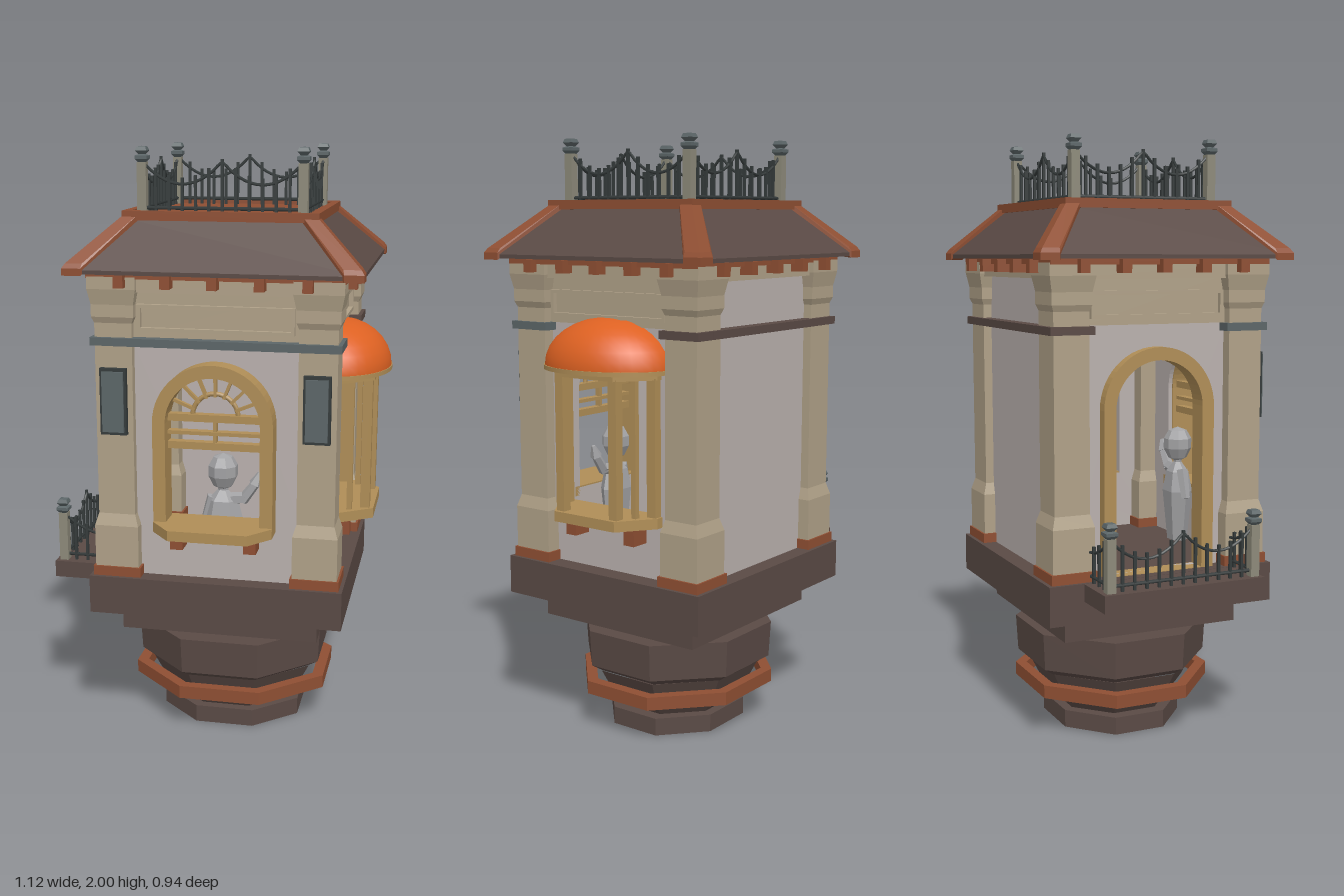
import * as THREE from 'three';
import { ConvexGeometry } from 'three/addons/geometries/ConvexGeometry.js';

const paint = (name, color) => {
  const m = new THREE.MeshStandardMaterial({ color });
  m.name = name;
  return m;
};

export function createModel() {
  const dark = paint('dark brown', 0x5a4a45), red = paint('terracotta', 0x8f4f33);
  const beige = paint('sandstone', 0xb0a188), wall = paint('plaster', 0xbab1ae);
  const tan = paint('ochre wood', 0xb08e57), orange = paint('orange canopy', 0xdd6122);
  const slate = paint('slate', 0x5c6668), iron = paint('iron', 0x353b3b);
  const grey = paint('figure grey', 0xa3a3a5), post = paint('post stone', 0x8d8a7a);

  const model = new THREE.Group();
  const tower = new THREE.Group();
  tower.name = 'tower';
  tower.position.set(0.025, 0, -0.03);
  model.add(tower);

  const add = (parent, name, geo, mat, x = 0, y = 0, z = 0) => {
    const m = new THREE.Mesh(geo, mat);
    m.name = name;
    m.position.set(x, y, z);
    parent.add(m);
    return m;
  };
  // box given by its bottom and top height
  const box = (parent, name, mat, w, y0, y1, d, x = 0, z = 0) =>
    add(parent, name, new THREE.BoxGeometry(w, y1 - y0, d), mat, x, (y0 + y1) / 2, z);
  const side = (name, angle) => {
    const g = new THREE.Group();
    g.name = name;
    g.rotation.y = angle;
    tower.add(g);
    return g;
  };
  // faceted prism from [half width, height] pairs, bottom to top
  const prism = (profile, sides, zScale = 1) => {
    const k = 1 / Math.cos(Math.PI / sides);
    let g = new THREE.LatheGeometry(profile.map(([r, y]) => new THREE.Vector2(r * k, y)), sides, Math.PI / sides);
    g.scale(1, 1, zScale);
    g = g.toNonIndexed();
    g.computeVertexNormals();
    return g;
  };
  const extrude = (shape, depth) => new THREE.ExtrudeGeometry(shape, { depth, bevelEnabled: false, curveSegments: 14 });
  const outline = (path, hw, y0, spring, round) => {
    path.moveTo(-hw, y0).lineTo(hw, y0).lineTo(hw, spring);
    if (round) path.absarc(0, spring, hw, 0, Math.PI, false);
    else path.lineTo(-hw, spring);
    path.lineTo(-hw, y0);
    return path;
  };
  // outline with an opening, extruded forwards from z
  const holed = (outer, inner, depth) => {
    const s = outline(new THREE.Shape(), ...outer);
    if (inner) s.holes.push(outline(new THREE.Path(), ...inner));
    return extrude(s, depth);
  };
  // flat slab with canted front corners
  const canted = (hw0, z0, z1, hw1, z2, h) => {
    const pts = [[-hw0, z0], [-hw0, z1], [-hw1, z2], [hw1, z2], [hw0, z1], [hw0, z0]];
    const g = extrude(new THREE.Shape(pts.map(([x, z]) => new THREE.Vector2(x, -z))), h);
    return g.rotateX(-Math.PI / 2);
  };

  // Octagonal foot
  add(tower, 'footSlab', prism([[0, 0], [0.243, 0], [0.243, 0.06], [0, 0.06]], 8, 0.9), dark);
  add(tower, 'footTaper', prism([[0.2, 0.06], [0.25, 0.13], [0.285, 0.2]], 8, 0.93), dark);
  add(tower, 'footRing', prism([[0.3, 0.13], [0.338, 0.13], [0.338, 0.175], [0.3, 0.175], [0.3, 0.13]], 8, 0.92), red);
  add(tower, 'drum', prism([[0, 0.2], [0.28, 0.2], [0.318, 0.225], [0.325, 0.35], [0, 0.35]], 8, 0.955), dark);
  box(tower, 'lowerSlab', dark, 0.67, 0.38, 0.466, 0.625);
  box(tower, 'baseSlab', dark, 0.85, 0.465, 0.595, 0.8);

  // Corner pilasters
  for (const sx of [-1, 1]) for (const sz of [-1, 1]) {
    const x = sx * 0.332, z = sz * 0.309;
    box(tower, 'plinth', red, 0.162, 0.595, 0.628, 0.156, x, z);
    add(tower, 'pilaster', prism([[0.074, 0.628], [0.074, 0.77], [0.062, 0.81], [0.062, 1.45], [0.07, 1.47],
      [0.07, 1.51], [0.08, 1.56], [0.08, 1.6]], 4, 0.97), beige, x, 0, z);
    if (sz > 0) {
      box(tower, 'plaqueFrame', iron, 0.088, 1.085, 1.305, 0.02, x, 0.377);
      box(tower, 'plaque', slate, 0.072, 1.095, 1.295, 0.03, x, 0.379);
    }
    box(tower, 'pilasterBand', sz > 0 ? slate : dark, 0.15, 1.378, 1.404, 0.15, x, z);
  }

  // Walls with their openings
  const front = side('frontSide', 0), left = side('leftSide', Math.PI / 2);
  const right = side('rightSide', -Math.PI / 2), back = side('backSide', Math.PI);
  add(front, 'frontWall', holed([0.35, 0.595, 1.55], [0.16, 0.8, 1.135, true], 0.03), wall, 0, 0, 0.31);
  add(back, 'backWall', holed([0.35, 0.595, 1.55], null, 0.03), wall, 0, 0, 0.31);
  add(left, 'bayWall', holed([0.32, 0.595, 1.55], [0.185, 0.8, 1.27], 0.03), wall, 0, 0, 0.325);
  add(right, 'doorWall', holed([0.32, 0.595, 1.55], [0.16, 0.597, 1.135, true], 0.03), wall, 0, 0, 0.325);
  box(back, 'backBand', dark, 0.66, 1.378, 1.404, 0.05, 0, 0.36);
  box(front, 'frontBand', slate, 0.66, 1.378, 1.404, 0.05, 0, 0.36);

  // Framed frieze panels
  for (const [g, hw, z] of [[front, 0.27, 0.335], [left, 0.25, 0.35], [right, 0.25, 0.35]]) {
    box(g, 'frieze', beige, hw * 2, 1.404, 1.56, 0.012, 0, z + 0.006);
    add(g, 'friezeFrame', holed([hw - 0.015, 1.425, 1.512], [hw - 0.027, 1.437, 1.5], 0.016), beige, 0, 0, z + 0.012);
  }

  // Front window: frame, fan light, transom bars, sill
  add(front, 'windowFrame', holed([0.197, 0.8, 1.135, true], [0.155, 0.8, 1.135, true], 0.085), tan, 0, 0, 0.325);
  for (const [y, h] of [[1.15, 0.024], [1.1, 0.012], [1.058, 0.024]])
    box(front, 'transomBar', tan, 0.315, y - h / 2, y + h / 2, 0.03, 0, 0.355);
  box(front, 'transomPost', tan, 0.012, 1.06, 1.15, 0.02, 0, 0.355);
  add(front, 'fanArc', new THREE.TorusGeometry(0.075, 0.008, 6, 16, Math.PI), tan, 0, 1.155, 0.355);
  for (let i = 1; i < 8; i++) {
    const a = (i * Math.PI) / 8;
    const ray = add(front, 'fanRay', new THREE.BoxGeometry(0.085, 0.01, 0.016), tan,
      Math.cos(a) * 0.115, 1.15 + Math.sin(a) * 0.112, 0.355);
    ray.rotation.z = a;
  }
  add(front, 'windowSill', canted(0.197, 0.31, 0.415, 0.13, 0.497, 0.034), tan, 0, 0.771, 0);

  // Side bay window with half dome
  add(left, 'baySill', canted(0.208, 0.33, 0.38, 0.125, 0.497, 0.034), tan, 0, 0.771, 0);
  add(left, 'bayHead', canted(0.205, 0.35, 0.375, 0.12, 0.49, 0.03), tan, 0, 1.245, 0);
  for (const s of [-1, 1]) {
    box(left, 'bayWallPost', tan, 0.034, 0.8, 1.25, 0.034, s * 0.185, 0.367);
    box(left, 'bayFrontPost', tan, 0.032, 0.8, 1.25, 0.032, s * 0.11, 0.468);
    box(left, 'bayMullion', tan, 0.018, 0.8, 1.25, 0.018, s * 0.148, 0.418);
    for (const [g, x, z] of [[front, 0.122, 0.37], [left, 0.122, 0.385]])
      box(g, 'sillBracket', red, 0.042, 0.71, 0.772, 0.07, s * x, z);
  }
  const rim = new THREE.CylinderGeometry(0.24, 0.24, 0.014, 24, 1, false, -Math.PI / 2, Math.PI);
  add(left, 'domeRim', rim.scale(1, 1, 0.77), tan, 0, 1.27, 0.352);
  const dome = new THREE.SphereGeometry(1, 18, 8, 0, Math.PI, 0, Math.PI / 2).scale(0.237, 0.157, 0.182);
  add(left, 'bayDome', dome, orange, 0, 1.275, 0.352);

  // Arched balcony door
  add(right, 'doorFrame', holed([0.197, 0.595, 1.135, true], [0.155, 0.597, 1.135, true], 0.07), tan, 0, 0, 0.32);

  // Cornice and brackets
  box(tower, 'cornice', beige, 0.79, 1.55, 1.6, 0.74);
  box(tower, 'corniceFillet', red, 0.83, 1.594, 1.616, 0.77);
  for (const [g, step, z] of [[front, 0.15, 0.39], [left, 0.14, 0.415], [right, 0.14, 0.415], [back, 0.15, 0.39]])
    for (let i = -2; i <= 2; i++) box(g, 'eaveBracket', red, 0.032, 1.568, 1.61, 0.05, i * step, z);

  // Hipped roof, hip caps, rim and deck
  add(tower, 'roof', prism([[0, 1.612], [0.47, 1.612], [0.47, 1.625], [0.305, 1.775], [0, 1.775]], 4, 0.926), dark);
  for (const sx of [-1, 1]) for (const sz of [-1, 1]) {
    const pts = [];
    for (const [x, z, w, ys] of [[0.475, 0.44, 0.062, [1.607, 1.63]], [0.465, 0.43, 0.055, [1.645]], [0.3, 0.278, 0.045, [1.765, 1.798]]])
      for (const y of ys)
        for (const [a, b] of [[0, 0], [w, 0], [0, w]]) pts.push(new THREE.Vector3(sx * (x - a), y, sz * (z - b)));
    add(tower, 'hipCap', new ConvexGeometry(pts), red);
  }
  add(tower, 'roofRim', prism([[0.29, 1.77], [0.317, 1.77], [0.317, 1.8], [0.29, 1.8], [0.29, 1.77]], 4, 0.93), red);
  box(tower, 'roofDeck', red, 0.59, 1.77, 1.787, 0.55);

  // Railings
  const railPost = (x, z, y, h) => {
    box(tower, 'railPost', post, 0.03, y, y + h - 0.05, 0.03, x, z);
    add(tower, 'postCap', prism([[0.012, -0.05], [0.02, -0.04], [0.02, -0.03], [0.01, -0.026], [0.019, -0.014],
      [0.014, -0.002], [0, 0]], 4), slate, x, y + h, z);
  };
  const railing = (x0, z0, x1, z1, y, spans, count) => {
    const a = new THREE.Vector3(x0, y, z0), b = new THREE.Vector3(x1, y, z1);
    const at = (t) => {
      const u = ((t * spans) % 1) * 2 - 1;
      return a.clone().lerp(b, t).setY(y + 0.095 + 0.07 * u * u);
    };
    const curve = new THREE.CatmullRomCurve3(Array.from({ length: 25 }, (_, i) => at(i / 24)));
    add(tower, 'swaggedRail', new THREE.TubeGeometry(curve, 32, 0.005, 5), iron);
    const low = new THREE.LineCurve3(a.clone().setY(y + 0.02), b.clone().setY(y + 0.02));
    add(tower, 'bottomRail', new THREE.TubeGeometry(low, 1, 0.006, 5), iron);
    for (let i = 1; i < count; i++) {
      const p = at(i / count);
      const tip = p.y + (i * spans % count ? 0.02 : 0.008);
      box(tower, 'picket', iron, 0.009, y, tip, 0.009, p.x, p.z);
    }
  };
  for (const s of [-1, 1]) {
    railing(-0.26, s * 0.242, 0.26, s * 0.242, 1.787, 2, 12);
    railing(s * 0.26, -0.242, s * 0.26, 0.242, 1.787, 2, 12);
    for (const t of [-1, 1]) railPost(s * 0.26, t * 0.242, 1.787, 0.213);
    railPost(-0.557, s * 0.254, 0.595, 0.22);
    railing(-0.557, s * 0.254, -0.395, s * 0.254, 0.595, 0.5, 4);
  }
  railing(-0.557, -0.254, -0.557, 0.254, 0.595, 2, 12);
  box(tower, 'balcony', dark, 0.17, 0.537, 0.594, 0.565, -0.5, 0);

  // Faceted figure behind the window
  const figure = new THREE.Group();
  figure.name = 'figure';
  figure.position.set(0.008, 0, 0.27);
  tower.add(figure);
  add(figure, 'torso', prism([[0.04, 0.6], [0.06, 0.78], [0.045, 0.85], [0.016, 0.885], [0.016, 0.92]], 6, 0.7), grey);
  add(figure, 'head', prism([[0, 0.885], [0.03, 0.9], [0.046, 0.935], [0.046, 0.97], [0.03, 1.0], [0, 1.012]], 8), grey);
  const limb = (name, x0, y0, x1, y1, r0, r1) => {
    const len = Math.hypot(x1 - x0, y1 - y0);
    const m = add(figure, name, prism([[0, 0], [r0, 0], [r1, len], [0, len]], 5), grey, x0, y0, 0);
    m.rotation.z = Math.atan2(x0 - x1, y1 - y0);
  };
  limb('raisedUpperArm', 0.03, 0.855, 0.075, 0.86, 0.018, 0.016);
  limb('raisedForearm', 0.065, 0.85, 0.112, 0.915, 0.016, 0.013);
  limb('raisedHand', 0.108, 0.91, 0.124, 0.95, 0.018, 0.006);
  limb('loweredArm', -0.035, 0.86, -0.065, 0.76, 0.017, 0.013);
  return model;
}
